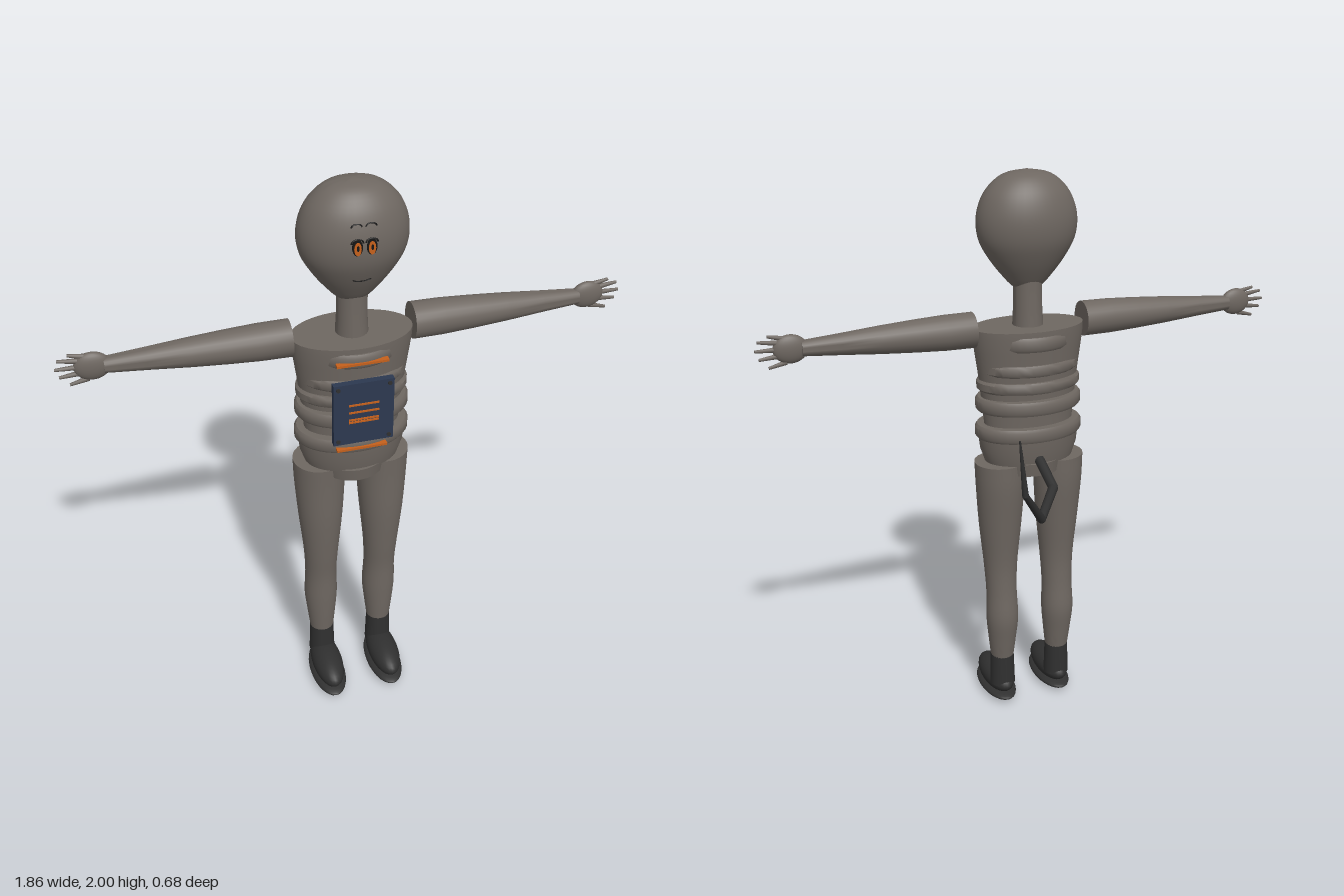
import * as THREE from 'three';
import { toCreasedNormals } from 'three/addons/utils/BufferGeometryUtils.js';

const mat = (name, color) => Object.assign(new THREE.MeshStandardMaterial({ color }), { name });
const skin = mat('warm grey', 0x6e6761);
const dark = mat('charcoal', 0x303030);
const blue = mat('navy', 0x2c3850);
const orange = mat('orange', 0xc4601c);
const black = mat('black', 0x161616);
const CZ = 0.125; // depth of the body axis

export function createModel() {
  const root = new THREE.Group();
  root.name = 'figure';

  const add = (name, geo, material, x = 0, y = 0, z = 0, parent = root) => {
    const m = new THREE.Mesh(geo, material);
    m.name = name;
    m.position.set(x, y, z);
    parent.add(m);
    return m;
  };

  // Turned shape from rows of [radius, height, z shift], with rounded surfaces and crisp rims
  const turned = (rows, depth = 1, segments = 32) => {
    const geo = new THREE.LatheGeometry(rows.map(([r, y]) => new THREE.Vector2(r, y)), segments);
    const p = geo.attributes.position;
    for (let i = 0; i < p.count; i++) p.setZ(i, p.getZ(i) * depth + (rows[i % rows.length][2] || 0));
    return toCreasedNormals(geo, 0.7);
  };

  const smoothRows = (rows, n) =>
    new THREE.CatmullRomCurve3(rows.map(([r, y, z = 0]) => new THREE.Vector3(r, y, z)))
      .getPoints(n).map((v) => [Math.max(0, v.x), v.y, v.z]);

  const capped = (rows) => [[0, rows[0][1], rows[0][2]], ...rows, [0, rows.at(-1)[1], rows.at(-1)[2]]];

  // Tapered rod between two points
  const rod = (name, a, b, ra, rb, material, parent, sides = 10) => {
    const A = new THREE.Vector3(...a), B = new THREE.Vector3(...b);
    const dir = B.clone().sub(A);
    const m = add(name, new THREE.CylinderGeometry(rb, ra, dir.length(), sides), material, 0, 0, 0, parent);
    m.position.copy(A).add(B).multiplyScalar(0.5);
    m.quaternion.setFromUnitVectors(new THREE.Vector3(0, 1, 0), dir.normalize());
    return m;
  };

  // Head and neck
  const headRows = smoothRows([[0, 1.598], [0.045, 1.608], [0.092, 1.655], [0.137, 1.715], [0.166, 1.77],
    [0.175, 1.825], [0.167, 1.88], [0.14, 1.935], [0.085, 1.982], [0, 2]], 36);
  add('head', turned(headRows, 0.74, 40), skin, 0, 0, 0.13);
  add('neck', turned([[0.055, 1.45], [0.05, 1.54], [0.05, 1.64]]), skin, 0, 0, CZ);

  // Depth of the face surface at a given spot
  const faceZ = (x, y) => {
    const i = headRows.findIndex((r) => r[1] >= y);
    const [r0, y0] = headRows[i - 1], [r1, y1] = headRows[i];
    const r = r0 + (r1 - r0) * (y - y0) / (y1 - y0);
    return 0.13 + 0.74 * Math.sqrt(r * r - x * x);
  };

  // Face: eyes, lashes, brows and mouth
  const arc = (r) => new THREE.TorusGeometry(r, 0.003, 6, 14, Math.PI);
  const disc = new THREE.CylinderGeometry(1, 1, 0.006, 20).rotateX(Math.PI / 2);
  for (const s of [1, -1]) {
    const x = 0.022 * s;
    add('eyeRim', disc, black, x, 1.835, faceZ(x, 1.835)).scale.set(0.016, 0.026, 1);
    add('eye', disc, orange, x, 1.832, faceZ(x, 1.832) + 0.003).scale.set(0.011, 0.021, 1);
    add('pupil', disc, black, x, 1.835, faceZ(x, 1.835) + 0.005).scale.set(0.004, 0.009, 1);
    add('lash', arc(0.018), black, x, 1.848, faceZ(x, 1.85)).scale.y = 0.7;
    add('brow', arc(0.016), black, x, 1.895, faceZ(x, 1.9)).scale.y = 0.6;
  }
  const mouth = add('mouth', arc(0.028), black, 0, 1.717, faceZ(0, 1.712) + 0.002);
  mouth.rotation.z = Math.PI;
  mouth.scale.y = 0.3;

  // Torso and pelvis
  add('torso', turned(capped([[0.16, 1.06], [0.163, 1.14], [0.172, 1.23], [0.182, 1.32], [0.193, 1.4],
    [0.2, 1.455], [0.2, 1.478]]), 0.6, 40), skin, 0, 0, CZ);
  add('pelvis', turned(capped([[0.135, 0.985], [0.162, 0.992], [0.178, 1.04], [0.184, 1.09]]), 0.66, 40), skin, 0, 0, CZ);
  add('pelvisBase', turned(capped([[0.115, 0.953], [0.122, 1.0]]), 0.98), skin, 0, 0, CZ);

  // Raised bands around the torso: height, half width, half depth, thickness
  for (const [y, rx, rz, h] of [[1.435, 0.158, 0.132, 0.05], [1.34, 0.18, 0.124, 0.04],
    [1.278, 0.187, 0.123, 0.04], [1.208, 0.192, 0.132, 0.05], [1.108, 0.195, 0.13, 0.05]]) {
    const k = h / 2;
    add('bodyBand', turned(capped([[rx - 0.008, -k], [rx, -k * 0.6], [rx, k * 0.6], [rx - 0.008, k]]), rz / rx, 40), skin, 0, y, CZ);
  }

  // Orange trim on the upper and lower bands
  for (const y of [1.432, 1.106]) add('bandTrim', new THREE.BoxGeometry(0.17, 0.008, 0.02), orange, 0, y, 0.252);

  // Chest panel with stripes and corner studs
  add('chestPanel', new THREE.BoxGeometry(0.2, 0.23, 0.022), blue, 0, 1.255, 0.262);
  for (const y of [1.29, 1.262, 1.234, 1.206 + 0.018]) {
    add('panelStripe', new THREE.BoxGeometry(0.1, 0.006, 0.005), orange, 0, y, 0.274);
  }
  for (const x of [-0.085, 0.085]) for (const y of [1.155, 1.355]) {
    add('panelStud', disc, dark, x, y, 0.274).scale.set(0.007, 0.007, 1);
  }

  // Arms and hands
  const armRows = capped([[0.061, 0.2], [0.06, 0.3], [0.055, 0.4], [0.047, 0.52], [0.036, 0.65], [0.026, 0.78]]);
  const tips = [[0.885, 1.527], [0.918, 1.511], [0.928, 1.482], [0.917, 1.453], [0.888, 1.423]];
  for (const s of [1, -1]) {
    const arm = new THREE.Group();
    arm.name = s > 0 ? 'leftArm' : 'rightArm';
    root.add(arm);
    add('sleeve', turned(armRows, 1, 24).rotateZ(-s * Math.PI / 2), skin, 0, 1.478, 0.12, arm);
    add('palm', new THREE.SphereGeometry(1, 24, 16), skin, s * 0.815, 1.48, 0.12, arm).scale.set(0.057, 0.048, 0.022);
    tips.forEach(([x, y], i) => {
      const base = [s * (i % 4 ? 0.855 : 0.83), 1.48 + (y - 1.48) * 0.75, 0.12];
      rod('finger', base, [s * x, y, 0.12], 0.009, 0.005, skin, arm, 8);
    });
  }

  // Legs and shoes
  const legRows = smoothRows([[0.091, 0.99, 0.12], [0.088, 0.9, 0.12], [0.078, 0.75, 0.127], [0.062, 0.58, 0.129],
    [0.057, 0.47, 0.122], [0.06, 0.36, 0.117], [0.052, 0.27, 0.121], [0.042, 0.18, 0.125]].reverse(), 28);
  const ball = new THREE.SphereGeometry(1, 28, 18);
  for (const s of [1, -1]) {
    const leg = new THREE.Group();
    leg.name = s > 0 ? 'leftLeg' : 'rightLeg';
    leg.position.x = s * 0.111;
    root.add(leg);
    add('trouser', turned(capped(legRows), 1, 28), skin, 0, 0, 0, leg);
    add('ankle', new THREE.CylinderGeometry(0.044, 0.048, 0.13, 24), dark, 0, 0.135, CZ, leg);
    add('shoe', ball, dark, 0, 0.068, 0.2, leg).scale.set(0.056, 0.05, 0.132);
    add('sole', ball, dark, 0, 0.022, 0.2, leg).scale.set(0.064, 0.02, 0.14);
  }

  // Jointed tail curling up to the model's left
  const tail = new THREE.Group();
  tail.name = 'tail';
  root.add(tail);
  const joints = [[0, 1.015, 0.02], [0, 0.958, -0.11], [0.1, 0.917, -0.25], [0.185, 1.045, -0.325], [0.207, 1.24, -0.337]];
  const radii = [0.018, 0.017, 0.015, 0.011, 0.003];
  for (let i = 0; i < 4; i++) {
    rod('tailSegment', joints[i], joints[i + 1], radii[i], radii[i + 1], dark, tail);
    if (i) add('tailJoint', new THREE.SphereGeometry(radii[i], 10, 8), dark, ...joints[i], tail);
  }
  return root;
}
